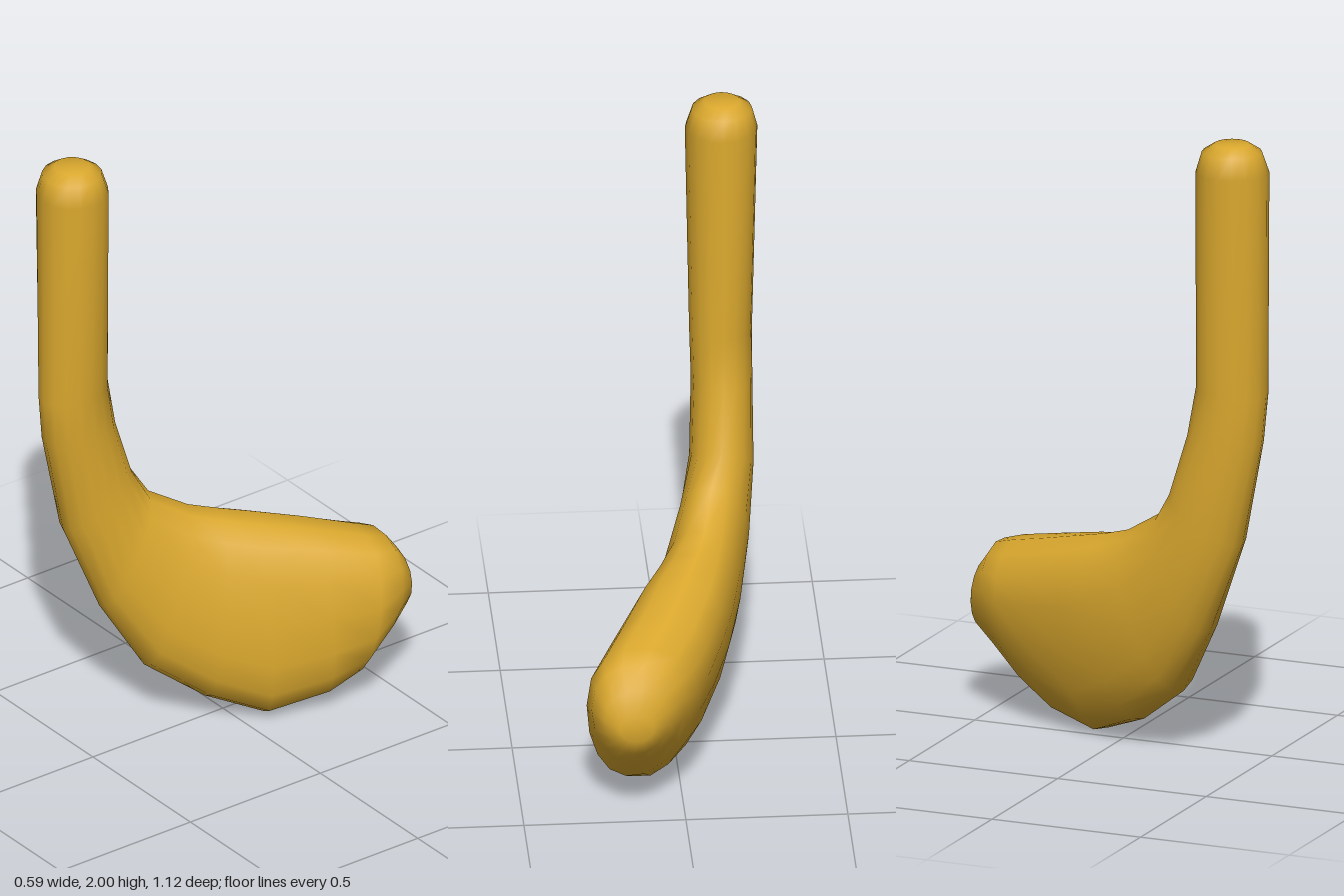
import * as THREE from 'three';

// Cross-sections from the top of the handle to the far end of the blade:
// [inner/top edge point, outer/bottom edge point, half thickness, egg shape, squareness]
const SECTIONS = [
  [[-0.18, 2.0, 0.39], [-0.18, 2.0, 0.5], 0.055, 0, 2],
  [[-0.18, 1.975, 0.352], [-0.18, 1.975, 0.538], 0.093, 0, 2],
  [[-0.178, 1.91, 0.332], [-0.178, 1.91, 0.56], 0.112, 0, 2],
  [[-0.176, 1.22, 0.33], [-0.176, 1.2, 0.558], 0.097, 0, 2],
  [[-0.175, 1.06, 0.3], [-0.18, 1.05, 0.545], 0.095, 0, 2],
  [[-0.165, 0.87, 0.24], [-0.18, 0.72, 0.48], 0.1, 0, 2],
  [[-0.13, 0.78, 0.19], [-0.155, 0.42, 0.36], 0.112, 0, 2.1],
  [[-0.1, 0.7, 0.06], [-0.085, 0.2, 0.24], 0.127, 0, 2.2],
  [[-0.07, 0.67, -0.03], [0, 0.07, 0.07], 0.143, 0.05, 2.3],
  [[-0.035, 0.645, -0.12], [0.09, 0, -0.09], 0.155, 0.08, 2.4],
  [[0.03, 0.6, -0.28], [0.155, 0.035, -0.27], 0.16, 0.15, 2.3],
  [[0.1, 0.56, -0.42], [0.175, 0.09, -0.37], 0.163, 0.22, 2.2],
  [[0.125, 0.54, -0.485], [0.17, 0.19, -0.468], 0.143, 0.18, 2.1],
  [[0.145, 0.475, -0.533], [0.165, 0.26, -0.543], 0.1, 0.1, 2],
  [[0.155, 0.4, -0.558], [0.155, 0.31, -0.56], 0.053, 0, 2],
];
const SIDES = 16;

// Collapses a section to its centre, to close an end
function pole([top, bottom]) {
  const centre = top.map((v, k) => (v + bottom[k]) / 2);
  return [centre, centre, 0, 0, 2];
}

// Smooth skin stretched over the cross-sections
function loft(sections) {
  const positions = [], indices = [];
  const power = (v, n) => Math.sign(v) * Math.pow(Math.abs(v), 2 / n);
  sections.forEach(([top, bottom, width, egg, n], i) => {
    const t = new THREE.Vector3(...top), b = new THREE.Vector3(...bottom);
    const centre = t.clone().add(b).multiplyScalar(0.5);
    const up = t.clone().sub(b).multiplyScalar(0.5);
    // The sections turn square to z towards the far end
    const sideways = new THREE.Vector3(0.95, 0, 0.32 * THREE.MathUtils.smoothstep(centre.z, -0.5, -0.15));
    const side = sideways.clone().sub(sideways.clone().projectOnVector(up)).normalize();
    for (let j = 0; j < SIDES; j++) {
      const a = (j / SIDES) * Math.PI * 2;
      const s = power(Math.sin(a), n), c = power(Math.cos(a), n);
      const p = centre.clone().addScaledVector(up, s).addScaledVector(side, c * width * (1 + egg * s));
      positions.push(p.x, p.y, p.z);
      if (i < sections.length - 1) {
        const k = i * SIDES + j, next = i * SIDES + ((j + 1) % SIDES);
        indices.push(k, k + SIDES, next, next, k + SIDES, next + SIDES);
      }
    }
  });
  const geometry = new THREE.BufferGeometry();
  geometry.setAttribute('position', new THREE.Float32BufferAttribute(positions, 3));
  geometry.setIndex(indices);
  geometry.computeVertexNormals();
  return geometry;
}

export function createModel() {
  const gold = new THREE.MeshStandardMaterial({ color: 0xdaa82e });
  gold.name = 'gold';
  const group = new THREE.Group();
  group.name = 'curvedClub';

  // Round handle flowing into the leaning blade
  const skin = loft([pole(SECTIONS[0]), ...SECTIONS, pole(SECTIONS.at(-1))]);
  const body = new THREE.Mesh(skin, gold);
  body.name = 'handleAndBlade';
  group.add(body);
  return group;
}
